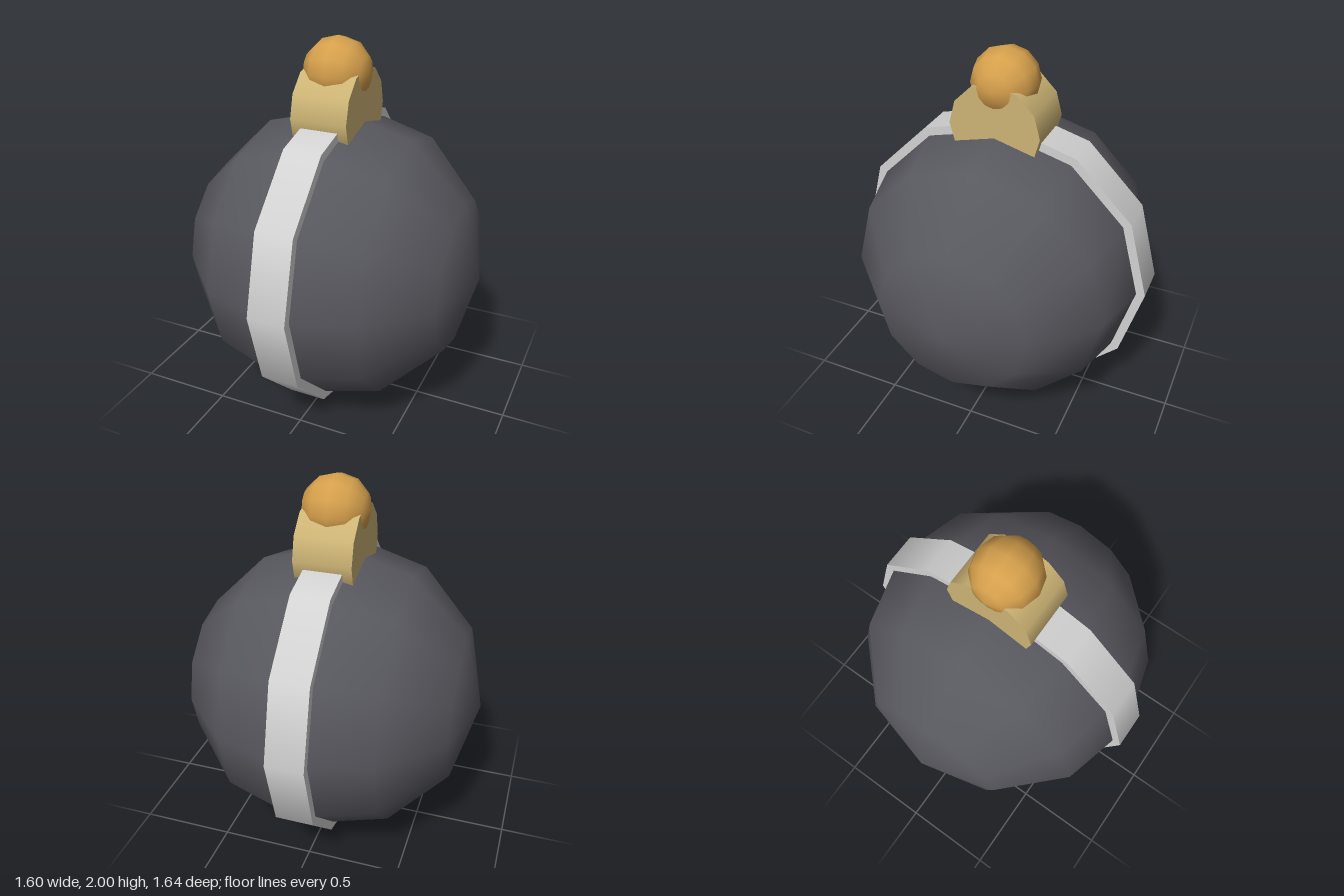
import * as THREE from 'three';

const paint = (name, color) => {
  const m = new THREE.MeshStandardMaterial({ color });
  m.name = name;
  return m;
};

export function createModel() {
  const group = new THREE.Group();
  group.name = 'ornament';

  const charcoal = paint('charcoal', 0x58585f);
  const silver = paint('silver', 0xd2d2d2);
  const paleGold = paint('pale gold', 0xcdb475);
  const gold = paint('gold', 0xd6a04c);

  // every part is a twelve-sided solid with its axis turned along x
  const add = (name, geometry, material, y) => {
    geometry.rotateZ(Math.PI / 2);
    const mesh = new THREE.Mesh(geometry, material);
    mesh.name = name;
    mesh.position.y = y;
    group.add(mesh);
  };
  const ball = (r) => new THREE.SphereGeometry(r, 12, 6);
  // vertices start on the vertical axis so the rims line up with the balls
  const disc = (r, width) => new THREE.CylinderGeometry(r, r, width, 12);

  add('body', ball(0.8), charcoal, 0.82);
  add('band', disc(0.82, 0.2), silver, 0.82);
  add('cap', disc(0.24, 0.3), paleGold, 1.62);
  add('knob', ball(0.175), gold, 1.825);

  return group;
}
